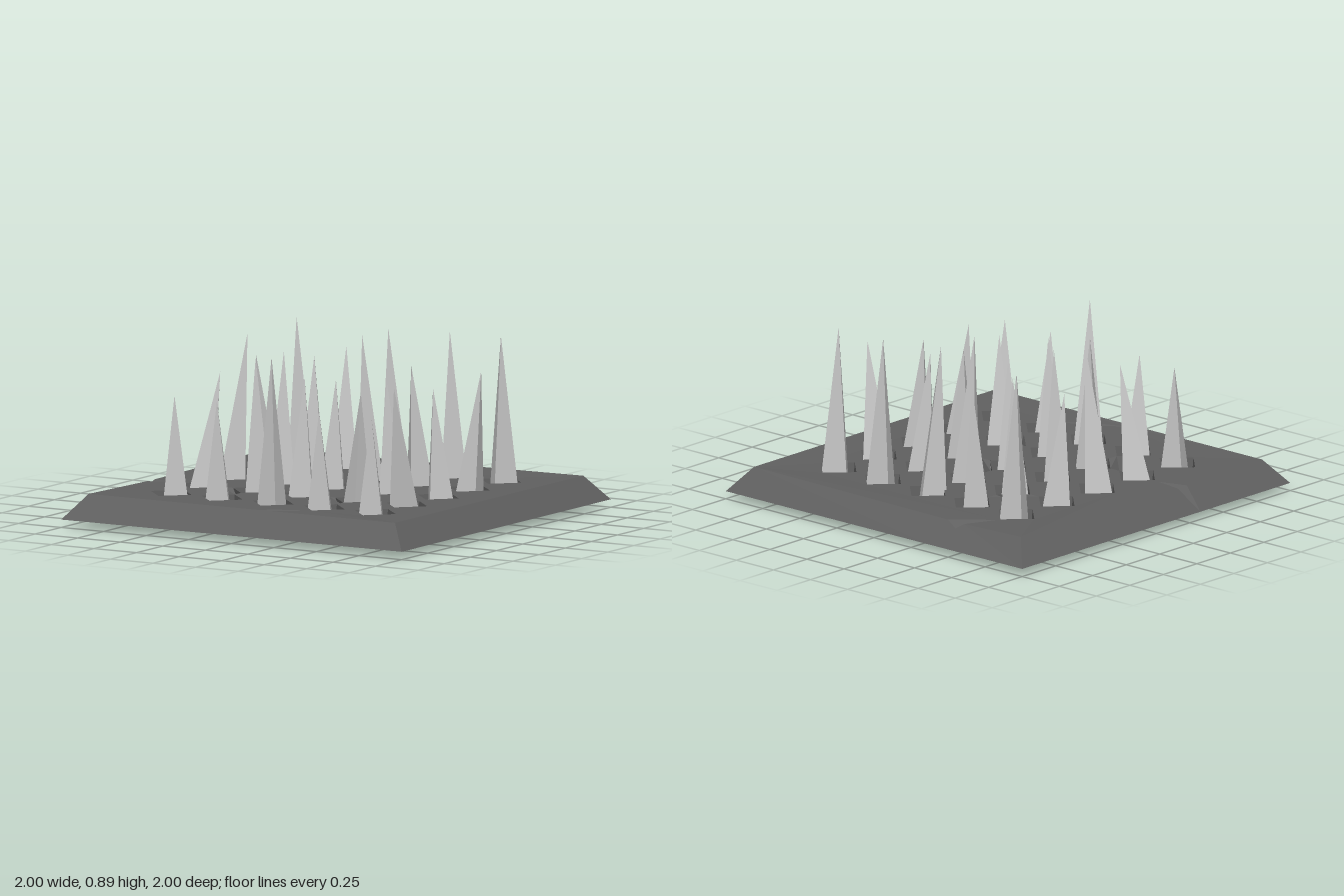
import * as THREE from 'three';

const TOP = 0.155, HOLE = 0.12;
const stone = new THREE.MeshStandardMaterial({ color: 0x606060, flatShading: true, side: THREE.DoubleSide });
const metal = new THREE.MeshStandardMaterial({ color: 0xcccccc, flatShading: true, side: THREE.DoubleSide });

// Spikes: [x, z, tip x, tip z, height, turn in degrees (0 points a corner to the front)]
const SPIKES = [
  [-0.6, -0.6, -0.6, -0.6, 0.89, 0], [-0.3, -0.6, -0.32, -0.62, 0.76, 70], [0, -0.6, 0, -0.5, 0.89, 195],
  [0.3, -0.6, 0.3, -0.6, 0.89, 0], [0.6, -0.6, 0.6, -0.6, 0.89, 10],
  [-0.6, -0.3, -0.66, -0.31, 0.73, -90], [-0.3, -0.3, -0.33, -0.33, 0.75, 180], [0, -0.3, 0, -0.25, 0.89, 0],
  [0.3, -0.3, 0.27, -0.28, 0.75, 10], [0.6, -0.3, 0.65, -0.33, 0.75, -75],
  [-0.6, 0, -0.52, 0, 0.89, 185], [-0.3, 0, -0.3, 0.01, 0.82, 190], [0, 0, 0, 0, 0.7, 180],
  [0.3, 0, 0.3, 0, 0.7, 0], [0.6, 0, 0.57, 0, 0.7, 5],
  [-0.6, 0.3, -0.52, 0.26, 0.73, 180], [-0.3, 0.3, -0.3, 0.28, 0.82, 0], [0, 0.3, 0, 0.3, 0.75, 180],
  [0.3, 0.3, 0.33, 0.3, 0.7, 145], [0.6, 0.3, 0.5, 0.26, 0.73, 35],
  [-0.6, 0.6, -0.58, 0.6, 0.65, 0], [-0.3, 0.6, -0.3, 0.65, 0.65, 180], [0, 0.6, -0.01, 0.6, 0.89, -80],
  [0.3, 0.6, 0.3, 0.65, 0.65, 180], [0.6, 0.6, 0.6, 0.64, 0.65, 180],
];

// Chipped hole edges: [hole x, hole z, first corner of the chipped edge, size]
const CHIPS = [[-0.3, -0.3, 3, 1.45], [0, 0, 0, 1.45], [-0.3, 0.3, 2, 1.5], [0.3, 0.3, 2, 1.25]];

// Adds a polygon fan to the list, turned so that it faces up
function face(out, ...p) {
  for (let i = 1; i < p.length - 1; i++) {
    const [a, b, c] = [p[0], p[i], p[i + 1]];
    const ny = (b[2] - a[2]) * (c[0] - a[0]) - (b[0] - a[0]) * (c[2] - a[2]);
    out.push(...a, ...(ny < 0 ? [...c, ...b] : [...b, ...c]));
  }
}

function meshFromFaces(out, name) {
  const g = new THREE.BufferGeometry();
  g.setAttribute('position', new THREE.Float32BufferAttribute(out, 3));
  g.computeVertexNormals();
  const m = new THREE.Mesh(g, stone);
  m.name = name;
  return m;
}

// Plate corners rise slightly above the rest of the top
const up = ([x, z]) => [x, Math.abs(x) + Math.abs(z) > 1.75 ? 0.165 : TOP, z];

function createPlate() {
  const plate = [], bevel = [], pits = [];
  // Notches broken out of the back and left edges
  const back = { a: [-0.52, -0.9], b: [-0.41, -0.9], tip: [-0.6, -0.73], out: [-0.35, 0.04, -1] };
  const left = { a: [-0.9, 0.34], b: [-0.9, 0.27], tip: [-0.75, 0.29], out: [-1, 0.04, 0.33] };
  const contour = [
    [-0.9, -0.9], back.a, back.tip, back.b, [0.9, -0.9], [0.9, 0.9],
    [-0.9, 0.9], left.a, left.tip, left.b,
  ];

  // Diamond holes, with some edges chipped
  const holes = SPIKES.map(([x, z]) => {
    const corner = (i, s = 1) => [
      x + [0, 1, 0, -1][i % 4] * HOLE * s, z + [-1, 0, 1, 0][i % 4] * HOLE * s];
    const chip = CHIPS.find((c) => c[0] === x && c[1] === z);
    const ring = [];
    for (let i = 0; i < 4; i++) {
      ring.push(corner(i));
      if (!chip || chip[2] !== i) continue;
      const a = corner(i), b = corner(i + 1), A = corner(i, chip[3]), B = corner(i + 1, chip[3]);
      const m = [(a[0] + b[0]) / 2, TOP - 0.035, (a[1] + b[1]) / 2];
      ring.push(A, B);
      face(pits, up(a), up(A), m);
      face(pits, up(A), up(B), m);
      face(pits, up(B), up(b), m);
    }
    return ring;
  });

  // Gouge near the front edge
  const gouge = [[0.01, 0.89], [0.13, 0.79], [0.29, 0.73], [0.18, 0.82]];
  holes.push(gouge);
  gouge.forEach((p, i) => face(pits, up(p), up(gouge[(i + 1) % 4]), [0.14, TOP - 0.03, 0.81]));

  // Flat top
  const vec = (ring) => ring.map((p) => new THREE.Vector2(...p));
  const all = [...contour, ...holes.flat()];
  for (const t of THREE.ShapeUtils.triangulateShape(vec(contour), holes.map(vec)))
    face(plate, ...t.map((i) => up(all[i])));

  // Sloped rim, open underneath
  const low = (x, z) => [x, 0.04, z];
  const high = (x, z) => up([x * 0.9, z * 0.9]);
  face(bevel, high(-1, 1), high(1, 1), low(1, 1), low(-1, 1));
  face(bevel, high(1, 1), high(1, -1), low(1, -1), low(1, 1));
  face(bevel, low(-1, -1), high(-1, -1), up(back.a), back.out);
  face(bevel, back.out, up(back.b), high(1, -1), low(1, -1));
  face(bevel, low(-1, 1), high(-1, 1), up(left.a), left.out);
  face(bevel, left.out, up(left.b), high(-1, -1), low(-1, -1));
  for (const n of [back, left]) {
    const m = [(n.a[0] + n.b[0]) / 2, TOP - 0.04, (n.a[1] + n.b[1]) / 2];
    for (const p of [n.a, n.b]) {
      face(pits, up(p), up(n.tip), m);
      face(pits, up(p), m, n.out);
    }
  }

  const group = new THREE.Group();
  group.name = 'basePlate';
  group.add(meshFromFaces(plate, 'plateTop'), meshFromFaces(bevel, 'slopedRim'), meshFromFaces(pits, 'chips'));
  return group;
}

// Short tapered sleeve lining a hole
function createSleeve(x, z) {
  const m = new THREE.Mesh(new THREE.CylinderGeometry(HOLE, 0.11, 0.085, 4, 1, true), stone);
  m.position.set(x, TOP - 0.0425, z);
  m.name = 'holeSleeve';
  return m;
}

// Three-sided spike, sheared so that its tip leans
function createSpike([x, z, tipX, tipZ, h, turn]) {
  const g = new THREE.ConeGeometry(0.1, h, 3, 1, true);
  g.rotateY(THREE.MathUtils.degToRad(turn)).translate(0, h / 2, 0);
  const p = g.attributes.position;
  for (let i = 0; i < p.count; i++) {
    const t = p.getY(i) / h;
    p.setX(i, p.getX(i) + (tipX - x) * t);
    p.setZ(i, p.getZ(i) + (tipZ - z) * t);
  }
  g.computeVertexNormals();
  const m = new THREE.Mesh(g, metal);
  m.position.set(x, 0, z);
  m.name = 'spike';
  return m;
}

export function createModel() {
  const model = new THREE.Group();
  model.name = 'spikeTrap';
  model.add(createPlate());
  for (const s of SPIKES) model.add(createSleeve(s[0], s[1]), createSpike(s));
  return model;
}
